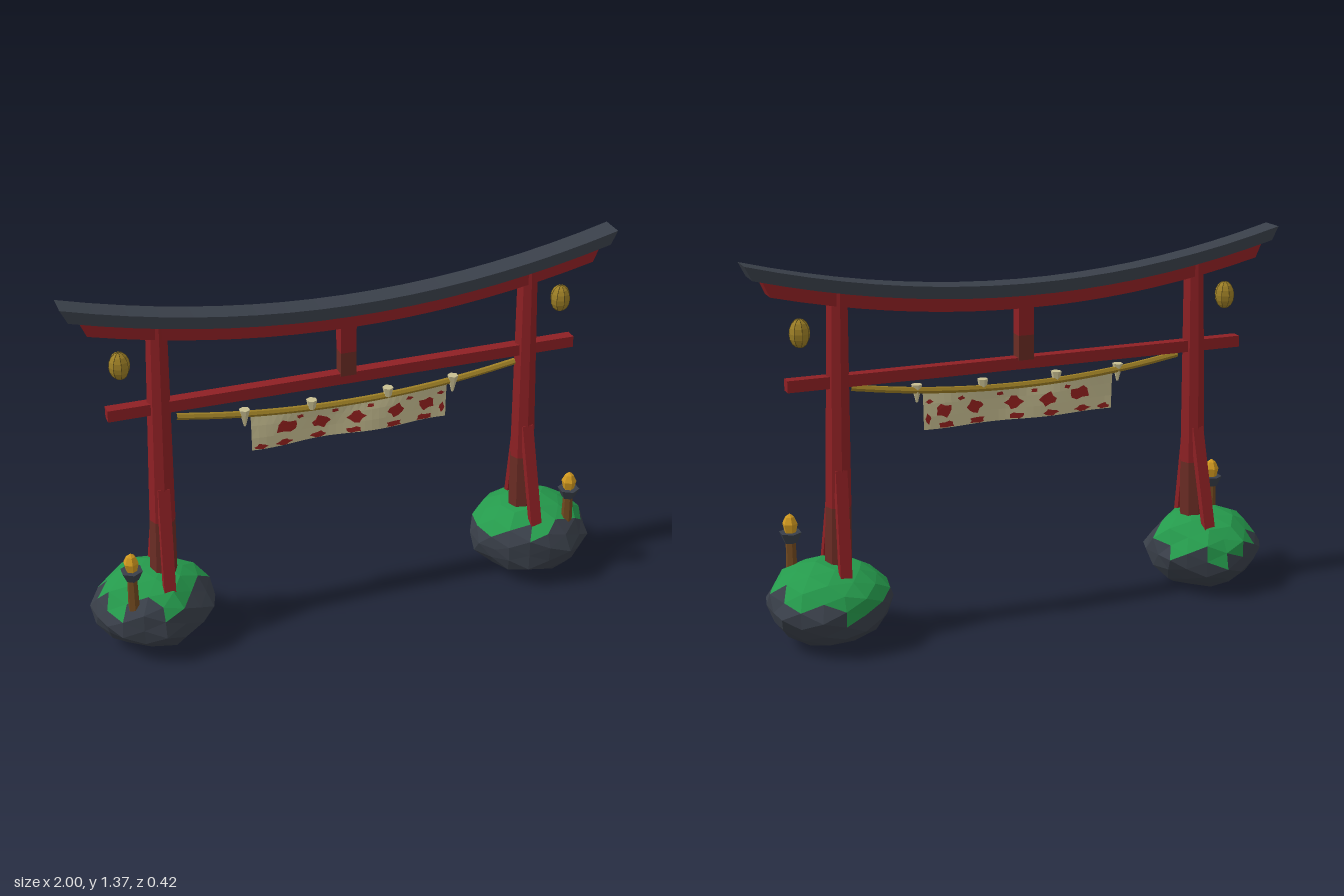
import * as THREE from 'three';

const mat = (name, color, side = THREE.FrontSide) => {
  const m = new THREE.MeshStandardMaterial({ color, side, flatShading: true });
  m.name = name;
  return m;
};

export function createModel() {
  const root = new THREE.Group();
  root.name = 'shrineGate';
  const red = mat('lacquer red', 0x8e2024);
  const brown = mat('weathered red brown', 0x6a2c24);
  const slate = mat('slate', 0x393f49);
  const green = mat('moss green', 0x259a4c);
  const wood = mat('post wood', 0x70481f);
  const gold = mat('old gold', 0x9c7e25);
  const dark = mat('lantern rib', 0x5a4a18);
  const amber = mat('amber', 0xd0981f);
  const cream = mat('cream cloth', 0xc8bf92, THREE.DoubleSide);
  const paint = mat('cloth red', 0x98221f, THREE.DoubleSide);
  const Z = 0.005; // centre plane of the gate

  const add = (name, geo, material, x = 0, y = 0, z = 0, parent = root) => {
    const m = new THREE.Mesh(geo, material);
    m.name = name;
    m.position.set(x, y, z);
    parent.add(m);
    return m;
  };
  // Aligns a y-axis geometry from point a to point b
  const between = (name, make, material, a, b) => {
    const d = b.clone().sub(a);
    const m = add(name, make(d.length()), material);
    m.position.copy(a).addScaledVector(d, 0.5);
    m.quaternion.setFromUnitVectors(new THREE.Vector3(0, 1, 0), d.normalize());
    return m;
  };
  const v = (x, y, z) => new THREE.Vector3(x, y, z);

  // Upswept beams: the same curve with different heights, spans and depths
  const curvedBeam = (name, material, top, bottom, topX, bottomX, depth) => {
    const N = 18, s = new THREE.Shape(), curve = x => 0.135 * x * x;
    for (let i = 0; i <= N; i++) {
      const x = -bottomX + (2 * bottomX * i) / N;
      i ? s.lineTo(x, bottom + curve(x)) : s.moveTo(x, bottom + curve(x));
    }
    for (let i = N; i >= 0; i--) {
      const x = -topX + (2 * topX * i) / N;
      s.lineTo(x, top + curve(x));
    }
    const geo = new THREE.ExtrudeGeometry(s, { depth, bevelEnabled: false });
    add(name, geo, material, 0, 0, Z - depth / 2);
  };
  curvedBeam('roofBeam', slate, 1.24, 1.197, 1, 0.975, 0.09);
  curvedBeam('upperBeam', red, 1.2, 1.15, 0.94, 0.915, 0.066);

  // Tie beam and centre strut
  add('tieBeam', new THREE.BoxGeometry(1.73, 0.042, 0.042), red, 0, 0.948, Z);
  add('centreStrut', new THREE.BoxGeometry(0.058, 0.13, 0.05), red, -0.005, 1.115, Z);
  add('centreStrutFoot', new THREE.BoxGeometry(0.058, 0.09, 0.05), brown, -0.005, 1.005, Z);

  // Faceted boulder with moss on its upper faces
  const boulder = (side, cx, rx, rz, seed) => {
    const geo = new THREE.IcosahedronGeometry(1, 2);
    const p = geo.attributes.position;
    const wobble = (x, y, z) =>
      Math.sin(5.3 * x + seed) * Math.sin(4.7 * y + 2 * seed) * Math.sin(6.1 * z + 1.3) +
      0.5 * Math.sin(11 * x + 7 * z + seed) * Math.cos(9 * y);
    for (let i = 0; i < p.count; i++) {
      const x = p.getX(i), y = p.getY(i), z = p.getZ(i);
      const r = 1 + 0.07 * wobble(x, y, z);
      p.setXYZ(i, x * r * rx, 0.155 + Math.max(-0.147, Math.min(0.15, y * r * 0.148)), z * r * rz);
    }
    geo.clearGroups();
    for (let i = 0; i < p.count; i += 3) {
      const mid = f => (f(i) + f(i + 1) + f(i + 2)) / 3;
      const x = mid(k => p.getX(k)), y = mid(k => p.getY(k)), z = mid(k => p.getZ(k));
      const edge = 0.205 + 0.16 * z + 0.025 * Math.sin(31 * x + 17 * z + seed);
      geo.addGroup(i, 3, y > edge ? 1 : 0);
    }
    geo.computeVertexNormals();
    add(side + 'Boulder', geo, [slate, green], cx, 0, -0.002);
  };
  boulder('right', -0.745, 0.22, 0.2, 1.2);
  boulder('left', 0.738, 0.225, 0.212, 2.6);

  // Hanging ribbed lantern
  const lanternRibs = (parent) => {
    for (let i = 0; i < 4; i++) {
      const rib = add('lanternRib', new THREE.TorusGeometry(1, 0.035, 4, 16), dark, 0, 0, 0, parent);
      rib.rotation.y = (i * Math.PI) / 4;
    }
  };

  for (const s of [-1, 1]) {
    const side = s > 0 ? 'left' : 'right';
    // Leaning pillar in two tones
    const foot = v(s * 0.703, 0.2, Z), joint = v(s * 0.694, 0.5, Z), head = v(s * 0.676, 1.275, Z);
    between(side + 'PillarFoot', h => new THREE.CylinderGeometry(0.047, 0.051, h, 8), brown, foot, joint);
    between(side + 'Pillar', h => new THREE.CylinderGeometry(0.037, 0.047, h, 8), red, joint, head);
    // Braces in front of and behind the pillar
    for (const f of [-1, 1]) {
      between(side + (f > 0 ? 'Front' : 'Back') + 'Brace', h => new THREE.BoxGeometry(0.042, h, 0.028), red,
        v(s * 0.712, 0.2, Z + f * 0.127), v(s * 0.692, 0.635, Z + f * 0.03));
    }
    // Lantern under the eave
    const lantern = new THREE.Group();
    lantern.name = side + 'Lantern';
    lantern.position.set(s * 0.81, 1.125, 0.008);
    lantern.scale.set(0.036, 0.05, 0.036);
    add('lanternBody', new THREE.SphereGeometry(1, 8, 8), gold, 0, 0, 0, lantern);
    lanternRibs(lantern);
    root.add(lantern);
    // Lamp post with bowl and amber crystal
    const lx = s * 0.84, lz = 0.12;
    add(side + 'LampPost', new THREE.CylinderGeometry(0.018, 0.022, 0.17, 6), wood, lx, 0.275, lz);
    add(side + 'LampBowl', new THREE.CylinderGeometry(0.041, 0.024, 0.038, 6), slate, lx, 0.364, lz);
    const crystal = [[0, 0.37], [0.02, 0.38], [0.028, 0.415], [0.016, 0.44], [0, 0.452]]
      .map(([r, y]) => new THREE.Vector2(r, y));
    add(side + 'LampCrystal', new THREE.LatheGeometry(crystal, 6), amber, lx, 0, lz);
  }

  // Sagging rope
  const ropeY = x => 0.856 + 0.055 * (x / 0.63) ** 2;
  const ropePts = [];
  for (let i = 0; i <= 8; i++) {
    const x = -0.63 + (1.26 * i) / 8;
    ropePts.push(v(x, ropeY(x), 0.032));
  }
  add('rope', new THREE.TubeGeometry(new THREE.CatmullRomCurve3(ropePts), 24, 0.012, 6), gold);

  // Paper tassels on the rope
  for (const x of [-0.39, -0.145, 0.14, 0.388]) {
    const outer = Math.abs(x) > 0.3;
    add('tassel', new THREE.CylinderGeometry(0.02, outer ? 0.004 : 0.013, outer ? 0.065 : 0.035, 6), cream,
      x, ropeY(x) + (outer ? -0.012 : 0.016), 0.036);
  }

  // Rippling cloth banner
  const ripple = (x, y) => 0.032 + 0.009 * Math.sin(15 * x) * Math.min(1, (0.86 - y) / 0.06);
  const drape = (geo, lift) => {
    const p = geo.attributes.position;
    for (let i = 0; i < p.count; i++) p.setZ(i, ripple(p.getX(i), p.getY(i)) + lift);
    geo.computeVertexNormals();
    return geo;
  };
  const cloth = new THREE.PlaneGeometry(0.735, 0.125, 28, 3);
  cloth.translate(0, 0.7925, 0);
  const cp = cloth.attributes.position;
  for (let i = 0; i < cp.count; i++) {
    const t = (cp.getY(i) - 0.73) / 0.125;
    cp.setY(i, 0.73 + t * (ropeY(cp.getX(i)) - 0.73));
  }
  add('banner', drape(cloth, 0), cream);

  // Painted blotches and ragged hem marks on both faces
  const blotch = (cx, cy, w, h, seed) => {
    const s = new THREE.Shape();
    for (let i = 0; i < 10; i++) {
      const a = (i * Math.PI) / 5, r = 0.9 + 0.22 * Math.sin(i * 2.4 + seed);
      const x = cx + r * w * Math.cos(a), y = Math.max(0.732, cy + r * h * Math.sin(a));
      i ? s.lineTo(x, y) : s.moveTo(x, y);
    }
    for (const lift of [-0.003, 0.003]) add('bannerMark', drape(new THREE.ShapeGeometry(s), lift), paint);
  };
  [-0.238, -0.108, 0.022, 0.172, 0.293].forEach((x, i) => {
    blotch(x, i ? 0.795 : 0.803, i ? 0.034 : 0.043, 0.026, i);
    blotch(x - 0.01, 0.743, 0.032, 0.013, i + 2);
    blotch(x + 0.052, 0.832, 0.014, 0.008, i + 4);
  });
  blotch(-0.335, 0.742, 0.024, 0.012, 1);
  blotch(0.352, 0.77, 0.011, 0.02, 3);

  return root;
}
